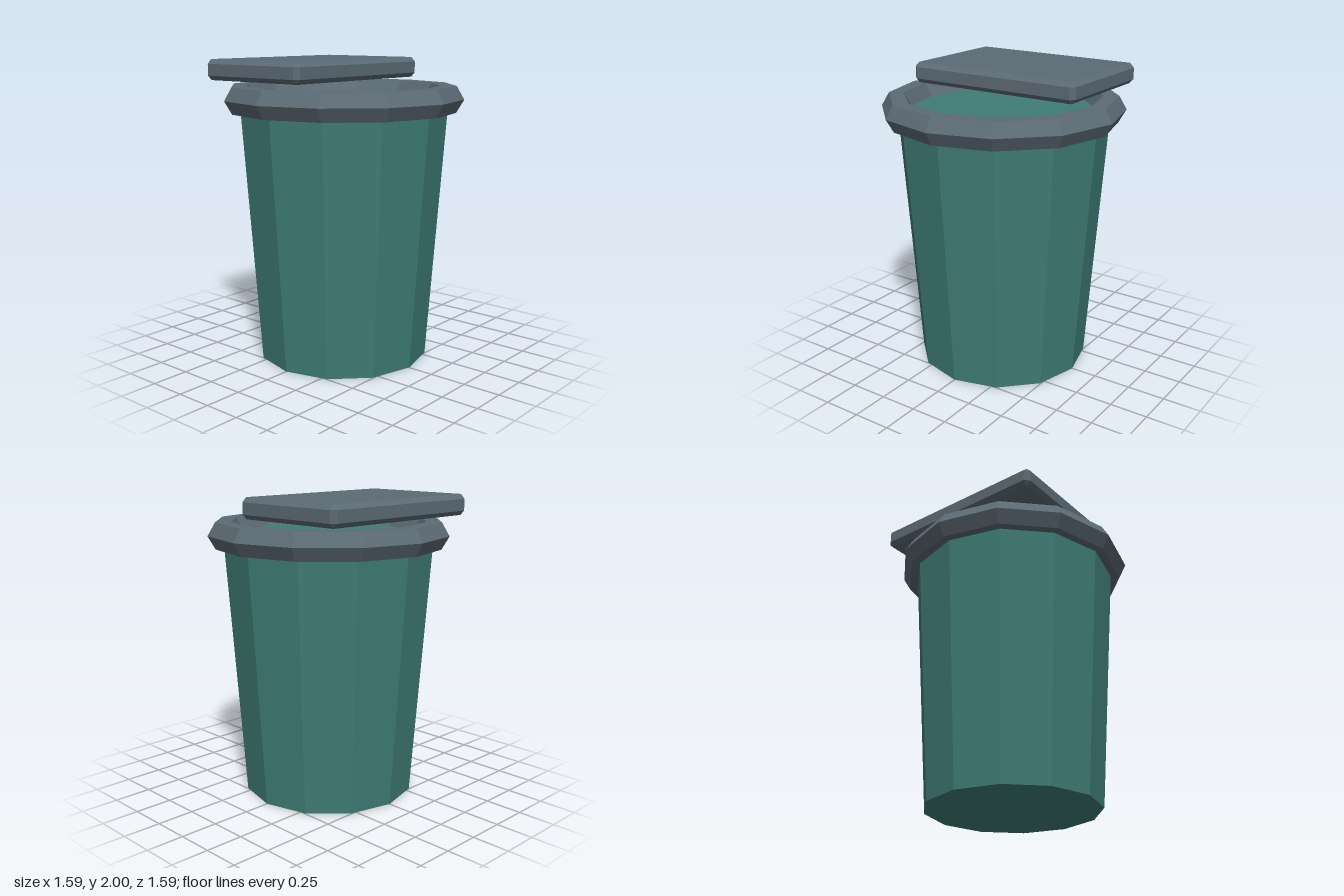
import * as THREE from 'three';
import { ConvexGeometry } from 'three/addons/geometries/ConvexGeometry.js';

const SIDES = 12;
const RIM_RADIUS = 0.697;
const RIM_Y = 1.745;

// Box with every edge and corner cut at 45 degrees
function chamferedBox(width, height, depth, c) {
  const [x, y, z] = [width / 2, height / 2, depth / 2];
  const points = [];
  for (const sx of [-1, 1]) for (const sy of [-1, 1]) for (const sz of [-1, 1]) {
    points.push(
      new THREE.Vector3(sx * x, sy * (y - c), sz * (z - c)),
      new THREE.Vector3(sx * (x - c), sy * y, sz * (z - c)),
      new THREE.Vector3(sx * (x - c), sy * (y - c), sz * z)
    );
  }
  return new ConvexGeometry(points);
}

export function createModel() {
  const model = new THREE.Group();
  model.name = 'bin';

  const green = new THREE.MeshStandardMaterial({ color: 0x3f7d76, flatShading: true });
  const grey = new THREE.MeshStandardMaterial({ color: 0x5c6b75, flatShading: true });

  function add(name, geometry, material, y, z = 0) {
    const mesh = new THREE.Mesh(geometry, material);
    mesh.name = name;
    mesh.position.set(0, y, z);
    model.add(mesh);
  }

  // Tapered body, closed at mid-rim height
  add('body', new THREE.CylinderGeometry(RIM_RADIUS, 0.573, RIM_Y, SIDES), green, RIM_Y / 2);

  // Hexagonal-section rim
  add('rim', new THREE.TorusGeometry(RIM_RADIUS, 0.1, 6, SIDES).rotateX(Math.PI / 2), grey, RIM_Y);

  // Lid slab hovering over the back half
  add('lid', chamferedBox(1.23, 0.136, 0.82, 0.03), grey, 1.932, -0.248);

  return model;
}
